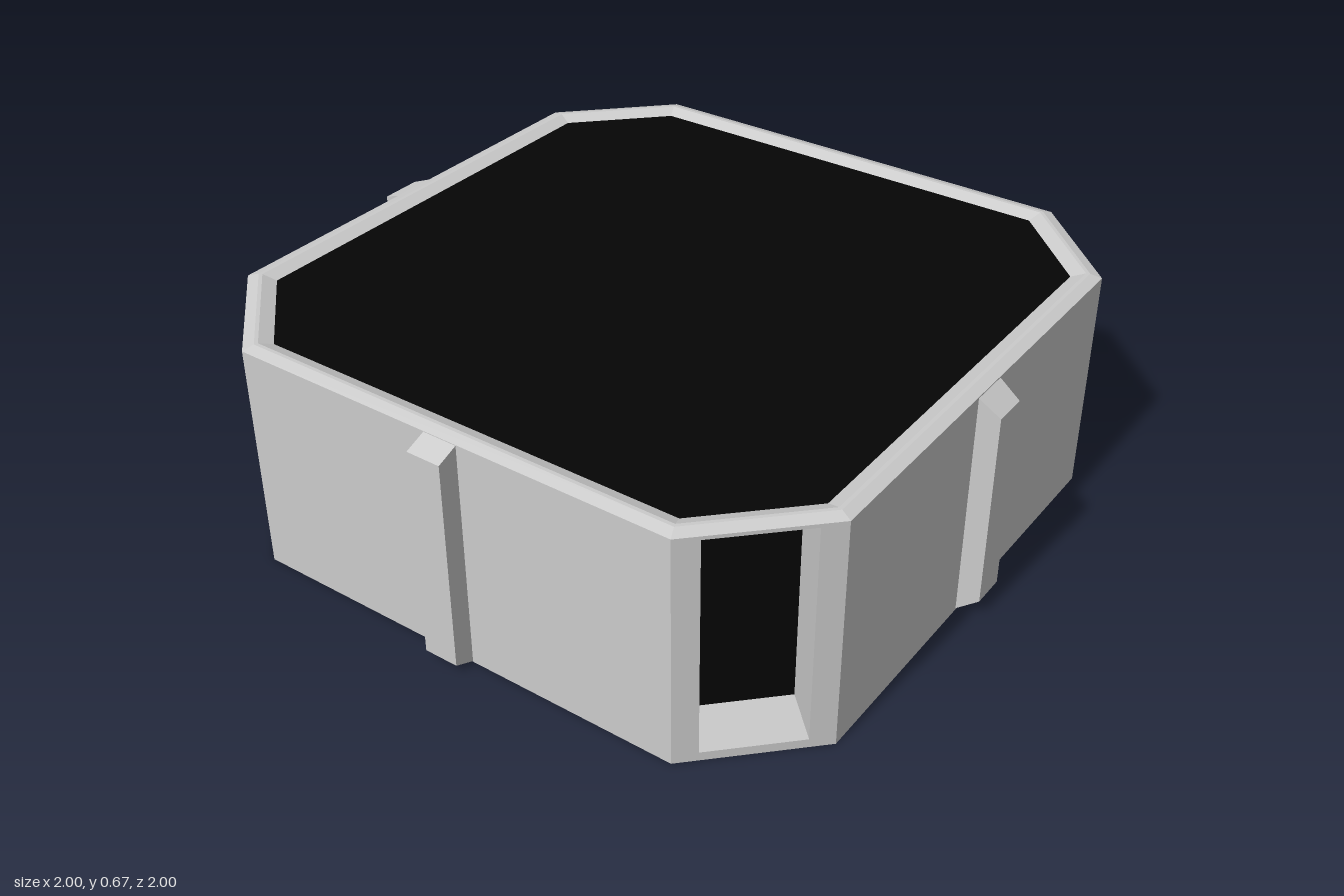
import * as THREE from 'three';

const grey = new THREE.MeshStandardMaterial({ color: 0xcccccc });
const black = new THREE.MeshStandardMaterial({ color: 0x050505 });

const HALF = 0.94;    // half width of the octagonal body
const CORNER = 0.66;  // where the cut corners start
const H = 0.66;       // wall height
const CUT = (HALF - CORNER) * Math.SQRT2; // width of a corner face

// Counter-clockwise rectangle at depth z
const rect = (halfW, y0, y1, z) => [[-halfW, y0, z], [halfW, y0, z], [halfW, y1, z], [-halfW, y1, z]];

// Counter-clockwise octagon, moved inward by `inset`, at height z
function octagon(inset, z) {
  const a = HALF - inset, b = CORNER - inset * Math.tan(Math.PI / 8);
  return [[a, -b, z], [a, b, z], [b, a, z], [-b, a, z], [-a, b, z], [-a, -b, z], [-b, -a, z], [b, -a, z]];
}

// Flat-faced skin through rings of points, optionally closed by the last ring
function loft(rings, cap = false) {
  const pos = [];
  for (let r = 0; r + 1 < rings.length; r++) {
    const p = rings[r], q = rings[r + 1], n = p.length;
    for (let i = 0; i < n; i++) {
      const j = (i + 1) % n;
      pos.push(...p[i], ...p[j], ...q[j], ...p[i], ...q[j], ...q[i]);
    }
  }
  if (cap) {
    const e = rings[rings.length - 1];
    for (let i = 1; i + 1 < e.length; i++) pos.push(...e[0], ...e[i], ...e[i + 1]);
  }
  const g = new THREE.BufferGeometry();
  g.setAttribute('position', new THREE.Float32BufferAttribute(pos, 3));
  g.computeVertexNormals();
  return g;
}

const outline = (pts) => pts.map(([x, y]) => new THREE.Vector2(x, y));

function add(parent, name, geometry, material = grey) {
  const mesh = new THREE.Mesh(geometry, material);
  mesh.name = name;
  parent.add(mesh);
  return mesh;
}

// Corner face with a deep window whose ceiling slopes down to a dark pane
function corner() {
  const g = new THREE.Group();
  g.name = 'corner';
  const w = 0.132, y0 = 0.025, y1 = 0.65, depth = 0.156;
  const face = new THREE.Shape(outline(rect(CUT / 2, 0, H, 0)));
  face.holes.push(new THREE.Path(outline(rect(w, y0, y1, 0)).reverse()));
  const back = rect(w, y0, 0.58, -depth);
  add(g, 'cornerFace', new THREE.ShapeGeometry(face));
  add(g, 'windowRecess', loft([rect(w, y0, y1, 0), back]));
  add(g, 'windowPane', new THREE.ShapeGeometry(new THREE.Shape(outline(back))), black)
    .position.z = -depth;
  for (const m of g.children) m.position.z += (HALF + CORNER) / Math.SQRT2;
  return g;
}

export function createModel() {
  const model = new THREE.Group();
  model.name = 'octagonalBox';

  // Ribs of front, left, back and right: base half width, outer half width, outer bottom, outer top
  const ribs = [
    [0.05, 0.05, 0.03, 0.635],
    [0.058, 0.05, 0.05, 0.615],
    [0.08, 0.07, 0.02, 0.618],
    [0.068, 0.06, 0.03, 0.635],
  ];
  ribs.forEach(([w0, w1, y0, y1], k) => {
    const side = new THREE.Group();
    side.name = 'side';
    side.rotation.y = k * Math.PI / 2;
    add(side, 'wall', new THREE.PlaneGeometry(2 * CORNER, H)).position.set(0, H / 2, HALF);
    add(side, 'rib', loft([rect(w0, 0, H, HALF - 0.005), rect(w1, y0, y1, 1)], true));
    model.add(side);

    const c = corner();
    c.rotation.y = (k + 0.5) * Math.PI / 2;
    model.add(c);
  });

  // Bevelled rim around the slightly sunken dark top
  add(model, 'rim', loft([octagon(0, H), octagon(0.03, 0.67), octagon(0.04, 0.67), octagon(0.077, 0.655)])
    .rotateX(-Math.PI / 2));
  add(model, 'topPanel', new THREE.ShapeGeometry(new THREE.Shape(outline(octagon(0.077, 0))))
    .rotateX(-Math.PI / 2), black).position.y = 0.655;

  // Flat underside
  add(model, 'underside', new THREE.ShapeGeometry(new THREE.Shape(outline(octagon(0, 0))))
    .rotateX(Math.PI / 2));

  return model;
}
